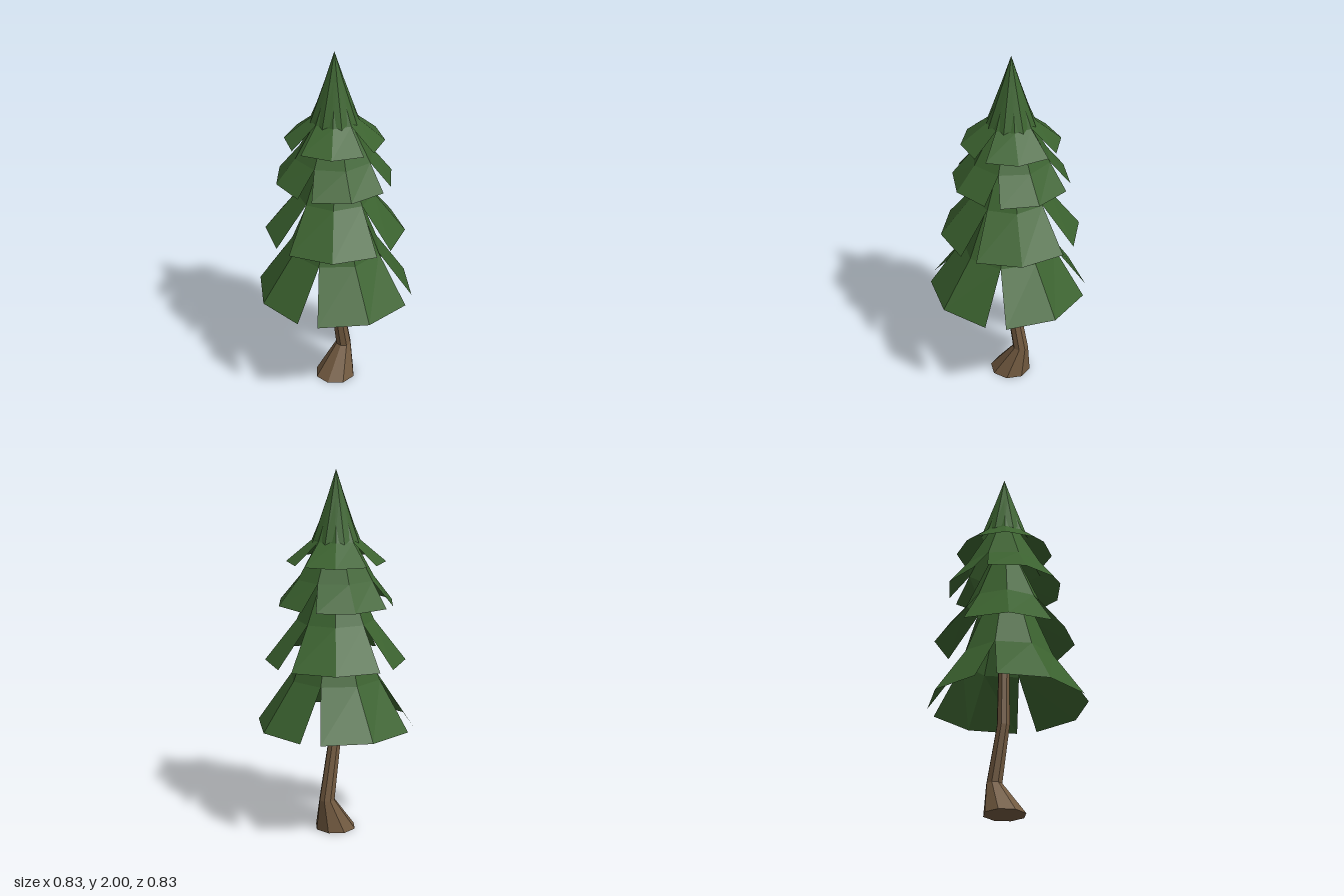
import * as THREE from 'three';

const RAD = Math.PI / 180;

// Point on a ring; angle runs from +x towards +z
const ringPoint = (r, y, deg, cx, cz) =>
  [cx + r * Math.cos(deg * RAD), y, cz + r * Math.sin(deg * RAD)];

// Outward-facing quad between a lower edge (a, b) and an upper edge (c above a, d above b)
const quad = (out, a, b, c, d) => out.push(...b, ...a, ...c, ...b, ...c, ...d);

function facetedMesh(name, positions, material) {
  const geometry = new THREE.BufferGeometry();
  geometry.setAttribute('position', new THREE.Float32BufferAttribute(positions, 3));
  geometry.computeVertexNormals();
  const mesh = new THREE.Mesh(geometry, material);
  mesh.name = name;
  return mesh;
}

// Skirt of four split flaps hanging from an eight-sided cone
function branchTier({ name, turn, rim, rimY, bend, bendY, tipY, cx, cz }, material) {
  const out = [];
  const tip = [cx, tipY, cz];
  for (let flap = 0; flap < 4; flap++) {
    const mid = turn + flap * 90;
    for (const side of [-1, 0]) {
      const a = ringPoint(rim, rimY, mid + side * 37.5, cx, cz);
      const b = ringPoint(rim, rimY, mid + (side + 1) * 37.5, cx, cz);
      const c = ringPoint(bend, bendY, mid + side * 45, cx, cz);
      const d = ringPoint(bend, bendY, mid + (side + 1) * 45, cx, cz);
      quad(out, a, b, c, d);
      out.push(...d, ...c, ...tip);
    }
  }
  return facetedMesh(name, out, material);
}

// Pointed top with a notched lower edge
function treeTop(material) {
  const out = [], cx = 0.01, cz = -0.015;
  const tip = [cx, 2, cz];
  for (let i = 0; i < 16; i++) {
    const edge = (k) => k % 2
      ? ringPoint(0.118, 1.64, 29 + k * 22.5, cx, cz)
      : ringPoint(0.134, 1.615, 29 + k * 22.5, cx, cz);
    const bend = (k) => ringPoint(k % 2 ? 0.046 : 0.05, 1.85, 29 + k * 22.5, cx, cz);
    quad(out, edge(i), edge(i + 1), bend(i), bend(i + 1));
    out.push(...bend(i + 1), ...bend(i), ...tip);
  }
  return facetedMesh('treeTop', out, material);
}

// Crooked trunk lofted through eight-sided rings: [x, y, z, radius]
function trunk(material) {
  const rings = [
    [0.01, 0, -0.01, 0.115],
    [0.08, 0.18, -0.01, 0.044],
    [0.02, 0.49, -0.01, 0.036],
    [0.014, 0.95, -0.01, 0.03],
  ];
  const out = [];
  const at = (ring, i) => ringPoint(ring[3], ring[1], 22.5 + i * 45, ring[0], ring[2]);
  for (let i = 0; i < 8; i++) {
    for (let k = 0; k < rings.length - 1; k++) {
      quad(out, at(rings[k], i), at(rings[k], i + 1), at(rings[k + 1], i), at(rings[k + 1], i + 1));
    }
    // Flat underside
    out.push(...rings[0].slice(0, 3), ...at(rings[0], i), ...at(rings[0], i + 1));
  }
  return facetedMesh('trunk', out, material);
}

export function createModel() {
  const needles = new THREE.MeshStandardMaterial({ color: 0x3b622f, flatShading: true, side: THREE.DoubleSide });
  needles.name = 'needle green';
  const bark = new THREE.MeshStandardMaterial({ color: 0x725a40, flatShading: true });
  bark.name = 'bark brown';

  const tree = new THREE.Group();
  tree.name = 'pineTree';
  tree.add(trunk(bark));

  // Branch tiers from bottom to top
  const tiers = [
    { name: 'lowestBranches', turn: 21, rim: 0.433, rimY: 0.605, bend: 0.253, bendY: 0.87, tipY: 1.5, cx: 0, cz: 0 },
    { name: 'lowerBranches', turn: 48, rim: 0.382, rimY: 0.968, bend: 0.21, bendY: 1.19, tipY: 1.65, cx: 0.01, cz: -0.01 },
    { name: 'upperBranches', turn: 30, rim: 0.32, rimY: 1.285, bend: 0.215, bendY: 1.42, tipY: 1.8, cx: 0.01, cz: -0.015 },
    { name: 'highestBranches', turn: 49, rim: 0.267, rimY: 1.51, bend: 0.13, bendY: 1.625, tipY: 1.94, cx: 0.01, cz: -0.015 },
  ];
  for (const tier of tiers) tree.add(branchTier(tier, needles));
  tree.add(treeTop(needles));
  return tree;
}
